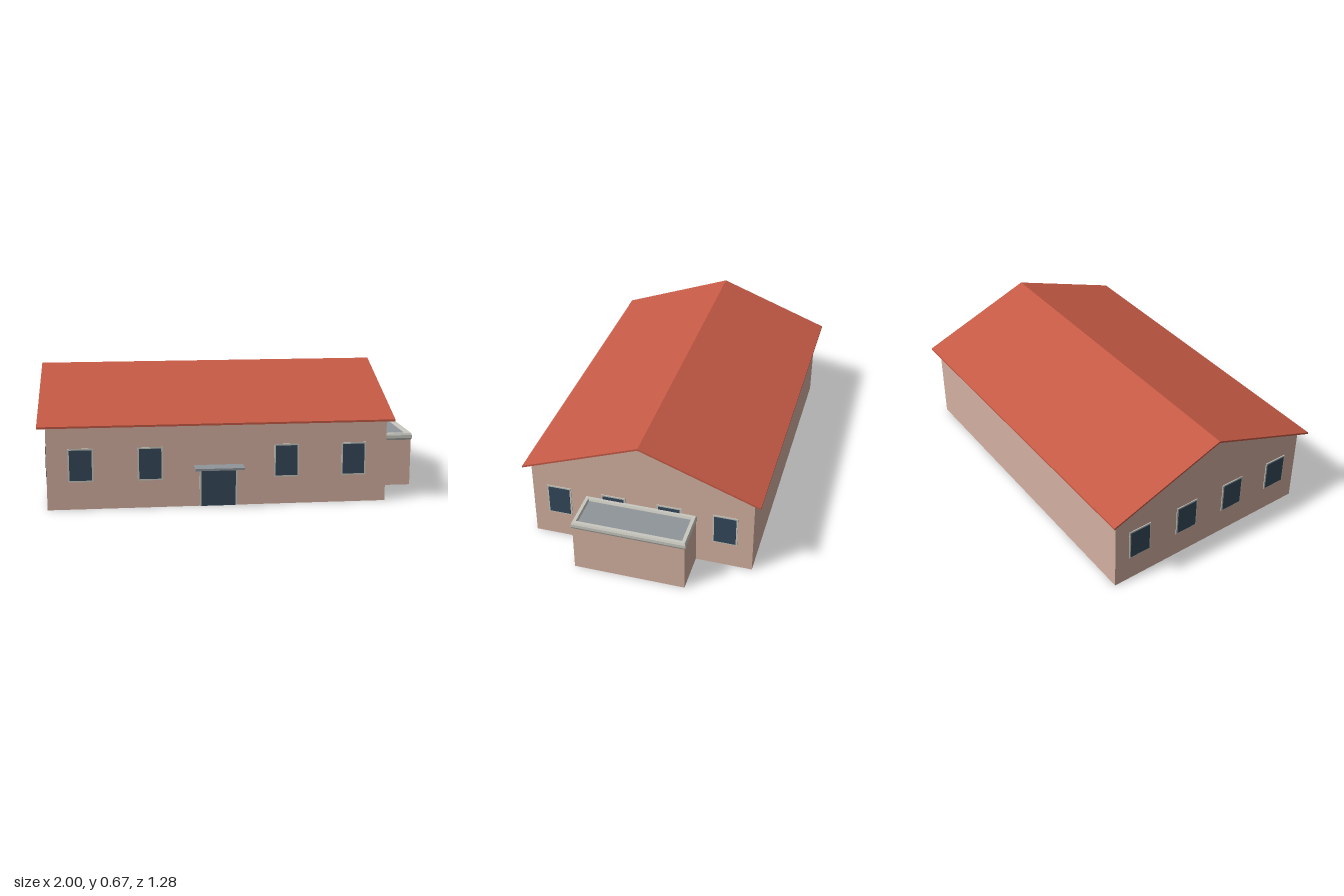
import * as THREE from 'three';

const flat = (name, color, side = THREE.FrontSide) => {
  const m = new THREE.MeshStandardMaterial({ color, side });
  m.name = name;
  return m;
};

export function createModel() {
  const house = new THREE.Group();
  house.name = 'house';
  const plaster = flat('pink plaster', 0xd4b0a1, THREE.DoubleSide);
  const tile = flat('red roof', 0xc65a46);
  const glass = flat('dark glass', 0x35485a);
  const trim = flat('pale trim', 0xc8c8c0);
  const slab = flat('grey slab', 0x8f959a);

  const add = (name, geometry, material, parent = house) => {
    const mesh = new THREE.Mesh(geometry, material);
    mesh.name = name;
    parent.add(mesh);
    return mesh;
  };
  // box given by its lower and upper corners
  const box = (name, material, a, b, parent) => {
    const size = b.map((v, i) => v - a[i]);
    const g = new THREE.BoxGeometry(...size);
    g.translate(...a.map((v, i) => v + size[i] / 2));
    return add(name, g, material, parent);
  };
  // flat convex sheet, corners counter-clockwise seen from outside
  const sheet = (name, material, ...pts) => {
    const tris = [];
    for (let i = 1; i < pts.length - 1; i++) tris.push(...pts[0], ...pts[i], ...pts[i + 1]);
    const g = new THREE.BufferGeometry();
    g.setAttribute('position', new THREE.Float32BufferAttribute(tris, 3));
    g.computeVertexNormals();
    return add(name, g, material);
  };

  // main walls, open underneath, with a ceiling at eaves height
  const L = -0.96, R = 0.775, F = 0.555, B = -0.605, ridge = -0.025, top = 0.438, peak = 0.655;
  sheet('frontWall', plaster, [L, 0, F], [R, 0, F], [R, top, F], [L, top, F]);
  sheet('backWall', plaster, [R, 0, B], [L, 0, B], [L, top, B], [R, top, B]);
  sheet('leftGable', plaster, [R, 0, F], [R, 0, B], [R, top, B], [R, peak, ridge], [R, top, F]);
  sheet('rightGable', plaster, [L, 0, B], [L, 0, F], [L, top, F], [L, peak, ridge], [L, top, B]);
  sheet('ceiling', plaster, [L, top, B], [R, top, B], [R, top, F], [L, top, F]);

  // thin pitched roof: chevron profile swept along x
  const chevron = new THREE.Shape([
    [-0.59, 0.426], [0.025, 0.656], [0.64, 0.426], [0.64, 0.436], [0.025, 0.666], [-0.59, 0.436],
  ].map(p => new THREE.Vector2(...p)));
  const roof = new THREE.ExtrudeGeometry(chevron, { depth: 1.81, bevelEnabled: false });
  roof.rotateY(Math.PI / 2).translate(-1, 0, 0);
  add('roof', roof, tile);

  // framed opening, facing +z before it is turned
  const opening = (name, w, y0, y1, sill, x, z, turn) => {
    const g = new THREE.Group();
    g.name = name;
    const e = 0.008;
    box('frame', trim, [-w / 2, y0, 0.001], [w / 2, y1, 0.005], g);
    box('pane', glass, [-w / 2 + e, y0 + (sill ? e : 0), 0.002], [w / 2 - e, y1 - e, 0.008], g);
    g.position.set(x, 0, z);
    g.rotation.y = turn;
    house.add(g);
  };
  for (const x of [-0.79, -0.441, 0.255, 0.604]) opening('frontWindow', 0.128, 0.143, 0.315, true, x, F, 0);
  for (const z of [0.412, 0.121, -0.172, -0.461]) {
    opening('leftWindow', 0.128, 0.143, 0.315, true, R, z, Math.PI / 2);
    opening('rightWindow', 0.128, 0.143, 0.315, true, L, z, -Math.PI / 2);
  }
  opening('frontDoor', 0.192, 0.001, 0.197, false, -0.095, F, 0);
  box('doorCanopy', slab, [-0.22, 0.204, F], [0.03, 0.215, 0.64]);

  // side annex: three walls, open underneath
  const X = 0.992, aF = 0.264, aB = -0.312, aTop = 0.256;
  sheet('annexFront', plaster, [R, 0, aF], [X, 0, aF], [X, aTop, aF], [R, aTop, aF]);
  sheet('annexSide', plaster, [X, 0, aF], [X, 0, aB], [X, aTop, aB], [X, aTop, aF]);
  sheet('annexBack', plaster, [X, 0, aB], [R, 0, aB], [R, aTop, aB], [X, aTop, aB]);
  box('annexRoof', slab, [R + 0.005, 0.256, aB + 0.005], [X - 0.005, 0.277, aF - 0.005]);

  // bevelled parapet ring around the annex roof
  const rect = (C, x0, x1, z0, z1) => new C([[x0, -z1], [x1, -z1], [x1, -z0], [x0, -z0]]
    .map(p => new THREE.Vector2(...p)));
  const ring = rect(THREE.Shape, R + 0.006, X, aB, aF);
  ring.holes.push(rect(THREE.Path, R + 0.022, X - 0.016, aB + 0.016, aF - 0.016));
  const parapet = new THREE.ExtrudeGeometry(ring, {
    depth: 0.016, bevelThickness: 0.011, bevelSize: 0.005, bevelSegments: 1,
  });
  parapet.rotateX(-Math.PI / 2).translate(0, 0.263, 0);
  add('annexParapet', parapet, trim);

  return house;
}
